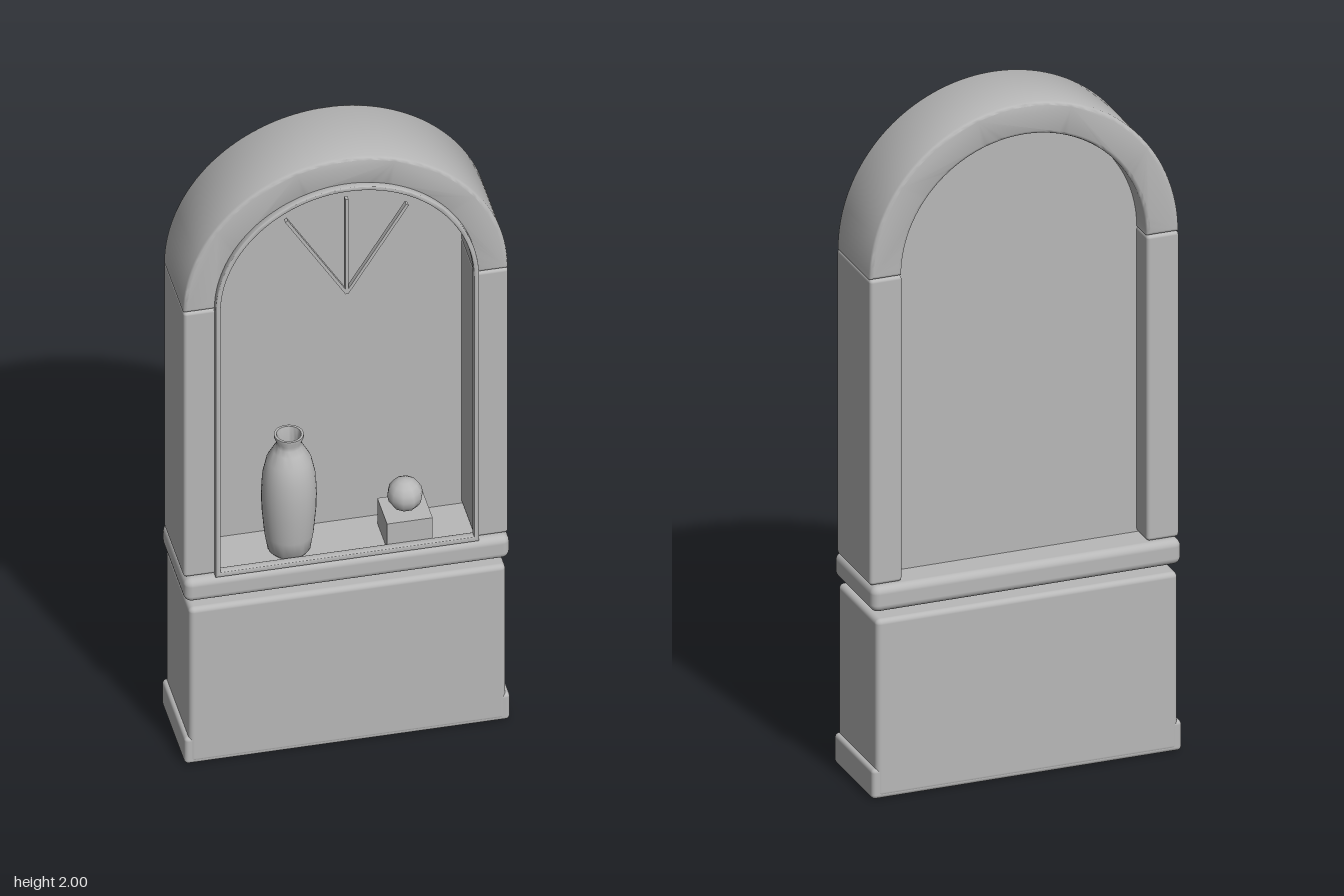
import * as THREE from 'three';
import { toCreasedNormals } from 'three/addons/utils/BufferGeometryUtils.js';
import { RoundedBoxGeometry } from 'three/addons/geometries/RoundedBoxGeometry.js';

export function createModel() {
  const model = new THREE.Group();
  model.name = 'archedNiche';
  const plaster = new THREE.MeshStandardMaterial({ color: 0xb8b8b8 });
  plaster.name = 'greyPlaster';

  const SPRING = 1.545; // height where the arch starts
  const FLOOR = 0.632; // top of the sill

  function add(name, geometry, x = 0, y = 0, z = 0) {
    const mesh = new THREE.Mesh(geometry, plaster);
    mesh.name = name;
    mesh.position.set(x, y, z);
    model.add(mesh);
    return mesh;
  }

  // Rounded block given by its size and bottom height
  function block(name, w, y0, y1, d, r, x = 0, z = 0) {
    return add(name, new RoundedBoxGeometry(w, y1 - y0, d, 3, r), x, (y0 + y1) / 2, z);
  }

  // Extrusion from z0 to z1 with softened edges that stay inside the outline
  function extrude(shape, z0, z1, bevel) {
    const g = new THREE.ExtrudeGeometry(shape, {
      depth: z1 - z0 - 2 * bevel, curveSegments: 40, bevelEnabled: bevel > 0,
      bevelSize: bevel, bevelThickness: bevel, bevelOffset: -bevel, bevelSegments: 2,
    });
    g.translate(0, 0, z0 + bevel);
    return toCreasedNormals(g, 0.8);
  }

  // Round-topped opening outline
  function archOutline(path, r, bottom) {
    path.moveTo(-r, bottom);
    path.lineTo(r, bottom);
    path.lineTo(r, SPRING);
    path.absarc(0, SPRING, r, 0, Math.PI, false);
    path.lineTo(-r, bottom);
    return path;
  }

  // Base cabinet, plinth and sill
  block('baseBody', 0.89, 0.004, 0.535, 0.286, 0.015);
  block('plinth', 0.914, 0, 0.09, 0.284, 0.012);
  block('sill', 0.914, 0.556, FLOOR, 0.288, 0.022);

  // Side pillars
  for (const s of [-1, 1]) {
    block(s > 0 ? 'leftPillar' : 'rightPillar', 0.095, FLOOR, SPRING, 0.247, 0.01, s * 0.4085);
  }

  // Arch
  const ring = new THREE.Shape();
  ring.absarc(0, SPRING, 0.456, 0, Math.PI, false);
  ring.absarc(0, SPRING, 0.361, Math.PI, 0, true);
  add('arch', extrude(ring, -0.1235, 0.1235, 0.01));

  // Recessed back panel
  add('backPanel', extrude(archOutline(new THREE.Shape(), 0.366, 0.625), -0.046, -0.036, 0));

  // Thin front trim around the opening
  const trim = archOutline(new THREE.Shape(), 0.37, FLOOR);
  trim.holes.push(archOutline(new THREE.Path(), 0.356, FLOOR + 0.016));
  add('openingTrim', extrude(trim, 0.118, 0.142, 0.003));

  // Fan of three slim bars
  for (const a of [-0.55, 0, 0.55]) {
    const bar = new THREE.BoxGeometry(0.009, 0.325, 0.015);
    bar.translate(0, 0.1625, 0);
    add('fanBar', bar, 0, SPRING, 0.127).rotation.z = a;
  }

  // Vase
  const profile = [
    [0, 0], [0.052, 0], [0.06, 0.01], [0.068, 0.06], [0.075, 0.14], [0.077, 0.2],
    [0.073, 0.26], [0.062, 0.31], [0.045, 0.342], [0.036, 0.358], [0.035, 0.37],
    [0.041, 0.386], [0.041, 0.394], [0.034, 0.394], [0.028, 0.365], [0.028, 0.33], [0, 0.32],
  ].map(([r, y]) => new THREE.Vector2(r, y));
  add('vase', toCreasedNormals(new THREE.LatheGeometry(profile, 28), 0.8), -0.145, FLOOR, 0.055);

  // Small pedestal with a ball
  add('pedestal', new THREE.BoxGeometry(0.128, 0.086, 0.12), 0.18, FLOOR + 0.043, 0.06);
  add('ball', new THREE.SphereGeometry(0.05, 10, 8), 0.18, 0.768, 0.06);

  return model;
}
